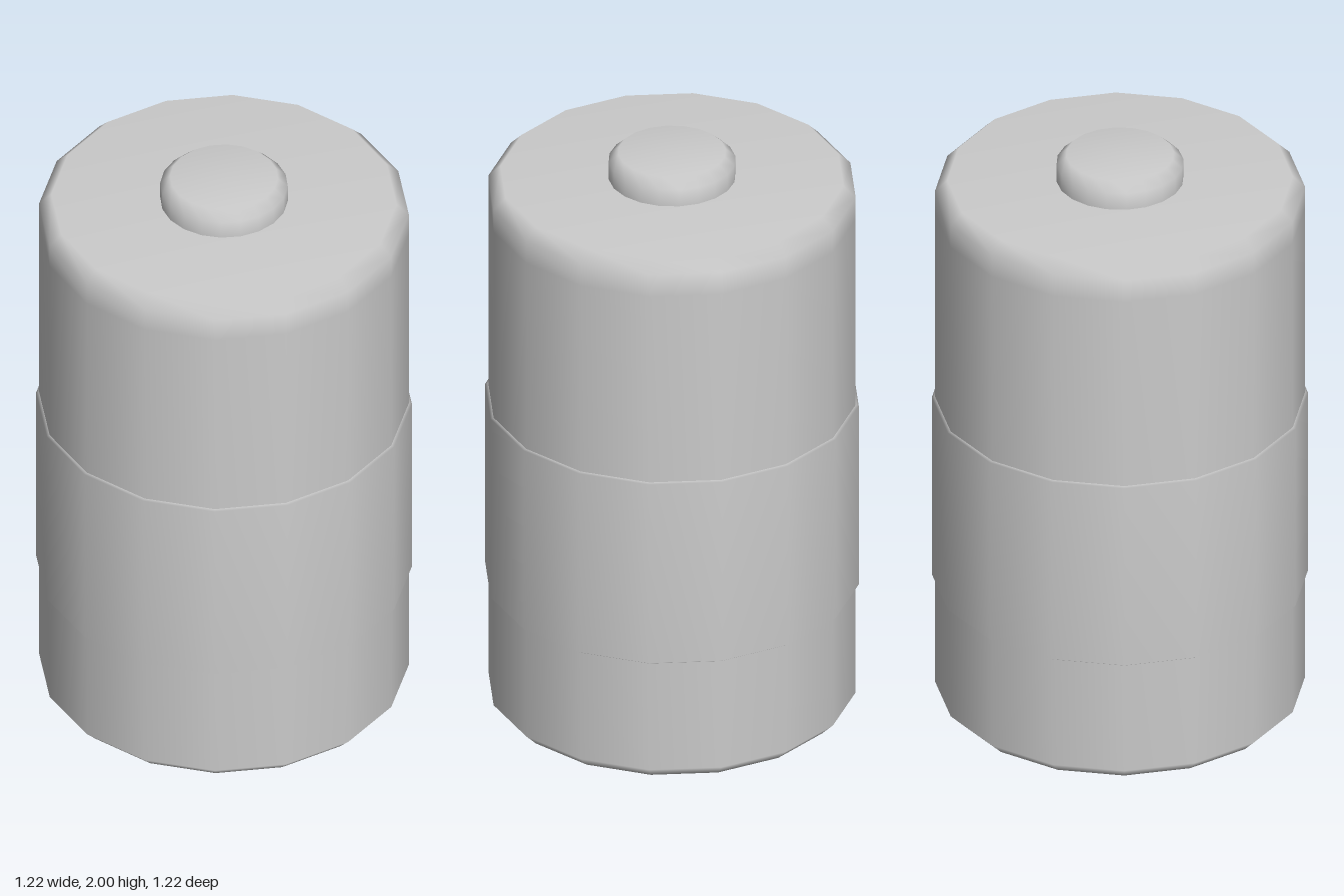
import * as THREE from 'three';

const material = new THREE.MeshStandardMaterial({ color: 0xcccccc });

// Turned part from a profile of [radius, height] pairs, listed bottom to top
function turned(name, profile, sides, start = 0) {
  const points = profile.map(([r, y]) => new THREE.Vector2(r, y));
  const mesh = new THREE.Mesh(new THREE.LatheGeometry(points, sides, start), material);
  mesh.name = name;
  return mesh;
}

export function createModel() {
  const group = new THREE.Group();
  group.name = 'battery';

  group.add(
    // Casing with a bevelled base
    turned('casing', [[0, 0], [0.56, 0], [0.6, 0.04], [0.6, 1.79]], 16),
    // Bevelled lid closing the casing
    turned('topCap', [[0.6, 1.79], [0.6, 1.87], [0.56, 1.91], [0, 1.91]], 16),
    // Thin sleeve wrapped around the casing
    turned('labelBand', [[0.595, 0.43], [0.61, 0.44], [0.61, 1.1], [0.595, 1.105]], 16),
    // Raised contact, its sides turned half a step
    turned('terminal', [[0.207, 1.91], [0.207, 1.97], [0.175, 2], [0, 2]], 20, Math.PI / 20),
  );

  return group;
}
